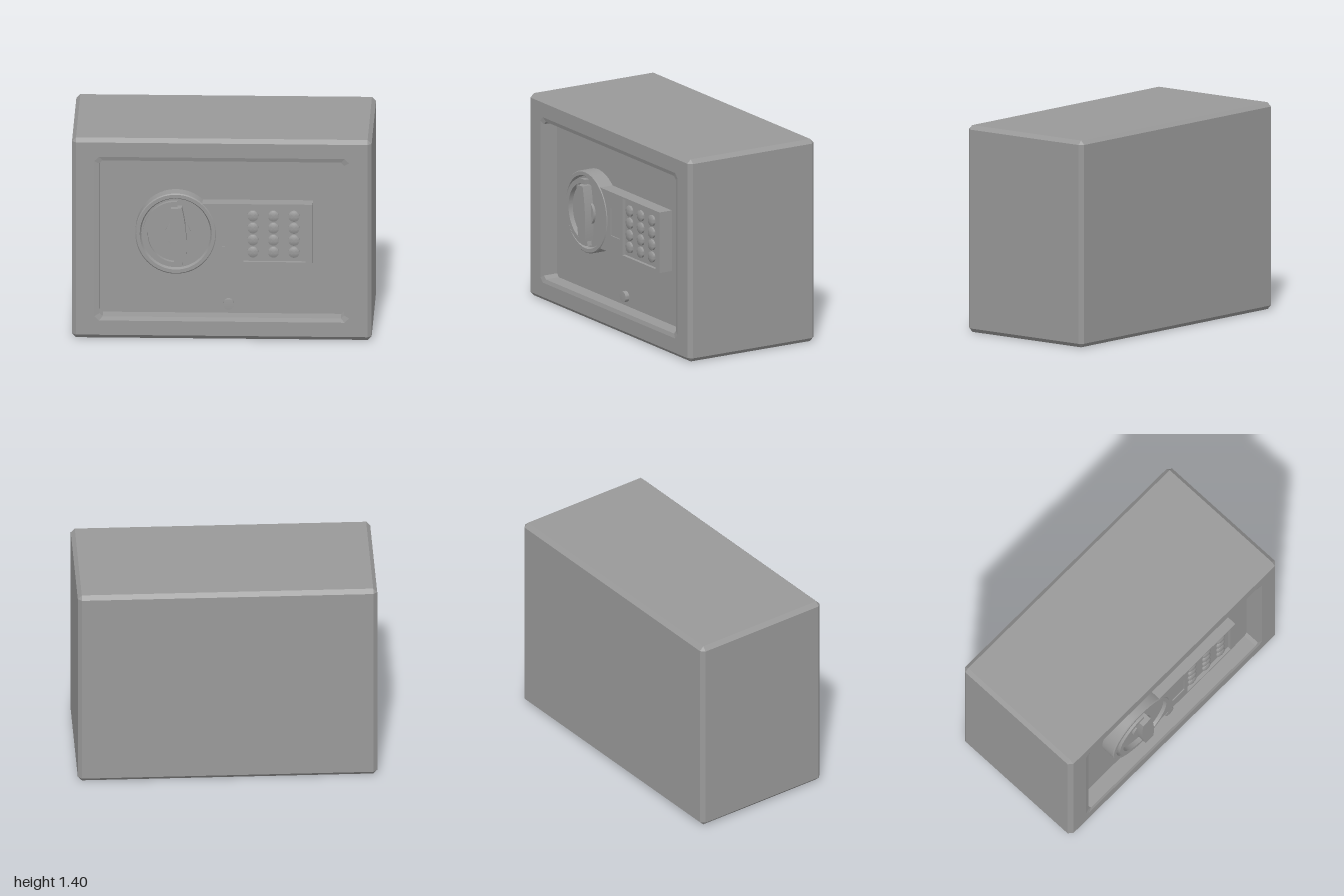
import * as THREE from 'three';
import { toCreasedNormals } from 'three/addons/utils/BufferGeometryUtils.js';

const grey = new THREE.MeshStandardMaterial({ color: 0x999999 });
const DOOR_Z = 0.37, PLATE_Z = 0.468, MID_Y = 0.7;
const DIAL = { x: -0.307, y: 0.736, squash: 0.962 };

function add(parent, name, geometry, x = 0, y = 0, z = 0) {
  const mesh = new THREE.Mesh(geometry, grey);
  mesh.name = name;
  mesh.position.set(x, y, z);
  parent.add(mesh);
  return mesh;
}

// Rectangle with cut corners, counter-clockwise: half width, half height, cut, z
function ring(hx, hy, c, z) {
  return [[hx, -hy + c], [hx, hy - c], [hx - c, hy], [-hx + c, hy],
    [-hx, hy - c], [-hx, -hy + c], [-hx + c, -hy], [hx - c, -hy]].map(([x, y]) => [x, y, z]);
}

// Flat-faced skin through a list of rings
function loft(rings) {
  const pos = [];
  for (let r = 0; r < rings.length - 1; r++) {
    const a = rings[r], b = rings[r + 1], n = a.length;
    for (let i = 0; i < n; i++) {
      const j = (i + 1) % n;
      pos.push(...a[i], ...a[j], ...b[j], ...a[i], ...b[j], ...b[i]);
    }
  }
  const g = new THREE.BufferGeometry();
  g.setAttribute('position', new THREE.Float32BufferAttribute(pos, 3));
  g.computeVertexNormals();
  return g;
}

// Turned part whose axis points forward; profile is [radius, z]
function turned(profile, segments = 64) {
  const pts = profile.map(([r, z]) => new THREE.Vector2(r, z));
  const g = new THREE.LatheGeometry(pts, segments).rotateX(Math.PI / 2);
  return toCreasedNormals(g, 0.5);
}

function rectPath(x0, x1, y0, y1) {
  return new THREE.Path([[x0, y0], [x0, y1], [x1, y1], [x1, y0]].map(p => new THREE.Vector2(...p)));
}

export function createModel() {
  const model = new THREE.Group();
  model.name = 'safe';

  // Chamfered cabinet with a shallow stepped lip around the door opening
  const c = 0.027;
  add(model, 'cabinet', loft([
    ring(0, 0, 0, -0.517),
    ring(1 - c, 0.7 - c, 0, -0.517),
    ring(1, 0.7, c, -0.517 + c),
    ring(1, 0.7, c, 0.481 - c),
    ring(1 - c, 0.7 - c, 0, 0.481),
    ring(0.85, 0.573, 0.03, 0.481),
    ring(0.817, 0.546, 0.022, 0.473),
    ring(0.817, 0.546, 0.022, DOOR_Z - 0.03),
  ]), 0, MID_Y);

  // Recessed door
  add(model, 'door', new THREE.BoxGeometry(1.64, 1.1, 0.04), 0, MID_Y, DOOR_Z - 0.02);

  // Small disc covering the emergency lock
  add(model, 'lockCover', turned([[0.037, 0], [0.037, 0.03], [0, 0.032]], 32), 0.043, 0.22, DOOR_Z);

  // Control plate, hollowed next to the dial, with pockets for keypad and display
  const control = new THREE.Group();
  control.name = 'controlPanel';
  model.add(control);
  const y0 = 0.527, y1 = 0.947, r = 0.268;
  const a = Math.asin((y1 - DIAL.y) / r);
  const plate = new THREE.Shape();
  plate.moveTo(0.606, y0);
  plate.lineTo(0.606, y1);
  plate.lineTo(DIAL.x + r * DIAL.squash * Math.cos(a), y1);
  plate.absellipse(DIAL.x, DIAL.y, r * DIAL.squash, r, a, -a, true);
  plate.closePath();
  plate.holes.push(rectPath(0.145, 0.56, 0.543, 0.935), rectPath(0, 0.115, 0.645, 0.835));
  add(control, 'controlPlate',
    new THREE.ExtrudeGeometry(plate, { depth: PLATE_Z - DOOR_Z, bevelEnabled: false, curveSegments: 24 }), 0, 0, DOOR_Z);
  add(control, 'keypadFloor', new THREE.BoxGeometry(0.42, 0.396, 0.07), 0.3525, 0.739, 0.408);
  add(control, 'display', new THREE.BoxGeometry(0.12, 0.195, 0.09), 0.0575, 0.74, 0.415);

  // Twelve round, slightly domed keys
  const key = turned([[0.037, 0], [0.037, 0.014], [0.028, 0.018], [0.015, 0.021], [0, 0.022]], 28);
  for (let row = 0; row < 4; row++) {
    for (let col = 0; col < 3; col++) {
      add(control, 'key', key, 0.207 + col * 0.137, 0.86 - row * 0.084, 0.443);
    }
  }

  // Round dial housing with a sunken face
  const dial = new THREE.Group();
  dial.name = 'dial';
  dial.position.set(DIAL.x, DIAL.y, 0);
  dial.scale.x = DIAL.squash;
  model.add(dial);
  add(dial, 'dialHousing', turned([
    [0.281, DOOR_Z], [0.281, 0.466], [0.274, 0.473], [0.25, 0.473], [0.24, 0.452], [0, 0.452],
  ]));
  add(dial, 'hub', turned([[0.088, 0.45], [0.088, 0.47], [0, 0.472]], 40), 0.015);

  // Raised half ring on one side of the dial, ending at the handle tips
  const arc = new THREE.Shape();
  arc.absarc(0, 0, 0.228, 1.51, 4.94, false);
  arc.absarc(0, 0, 0.194, 4.94, 1.51, true);
  add(dial, 'dialHalfRing', toCreasedNormals(
    new THREE.ExtrudeGeometry(arc, { depth: 0.036, bevelEnabled: false, curveSegments: 36 }), 0.4), 0, 0, 0.45);

  // Turning handle: a bar swelling towards the middle, slightly tilted
  const bar = new THREE.Shape();
  bar.moveTo(-0.038, -0.189);
  bar.lineTo(0.038, -0.189);
  bar.quadraticCurveTo(0.072, 0, 0.038, 0.189);
  bar.lineTo(-0.038, 0.189);
  bar.quadraticCurveTo(-0.072, 0, -0.038, -0.189);
  const handle = add(dial, 'handle', toCreasedNormals(
    new THREE.ExtrudeGeometry(bar, { depth: 0.07, bevelEnabled: false, curveSegments: 10 }), 0.4), 0.018, 0.002, 0.45);
  handle.rotation.z = 0.07;

  return model;
}
